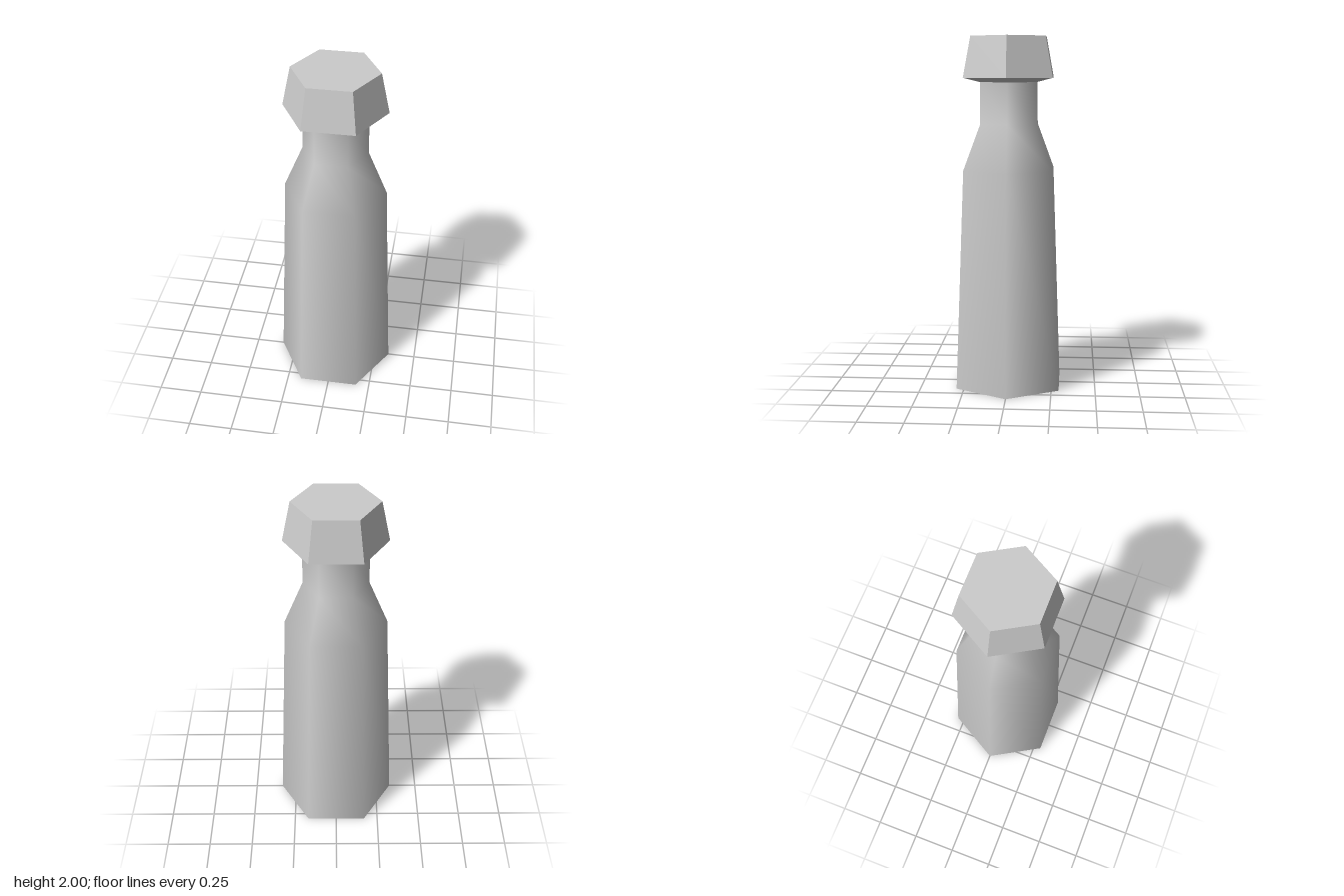
import * as THREE from 'three';

const SIDES = 6;

// Six-sided turned shape with corners on the x axis; profile runs bottom to top
function turned(name, profile, flatShading) {
  const points = profile.map(([r, y]) => new THREE.Vector2(r, y));
  const geometry = new THREE.LatheGeometry(points, SIDES, Math.PI / 2);
  const material = new THREE.MeshStandardMaterial({ color: 0xcccccc, flatShading });
  const mesh = new THREE.Mesh(geometry, material);
  mesh.name = name;
  return mesh;
}

export function createModel() {
  const group = new THREE.Group();
  group.name = 'bottle';

  // Tapered body, sloping shoulder and neck, softly shaded
  group.add(turned('body', [
    [0.338, 0], [0.288, 1.255], [0.183, 1.51], [0.181, 1.75],
  ], false));

  // Closed underside
  group.add(turned('base', [[0, 0], [0.338, 0]], true));

  // Faceted cap: sloped underside, tapering walls, flat top
  group.add(turned('cap', [
    [0.178, 1.745], [0.287, 1.77], [0.24, 2], [0, 2],
  ], true));

  return group;
}
